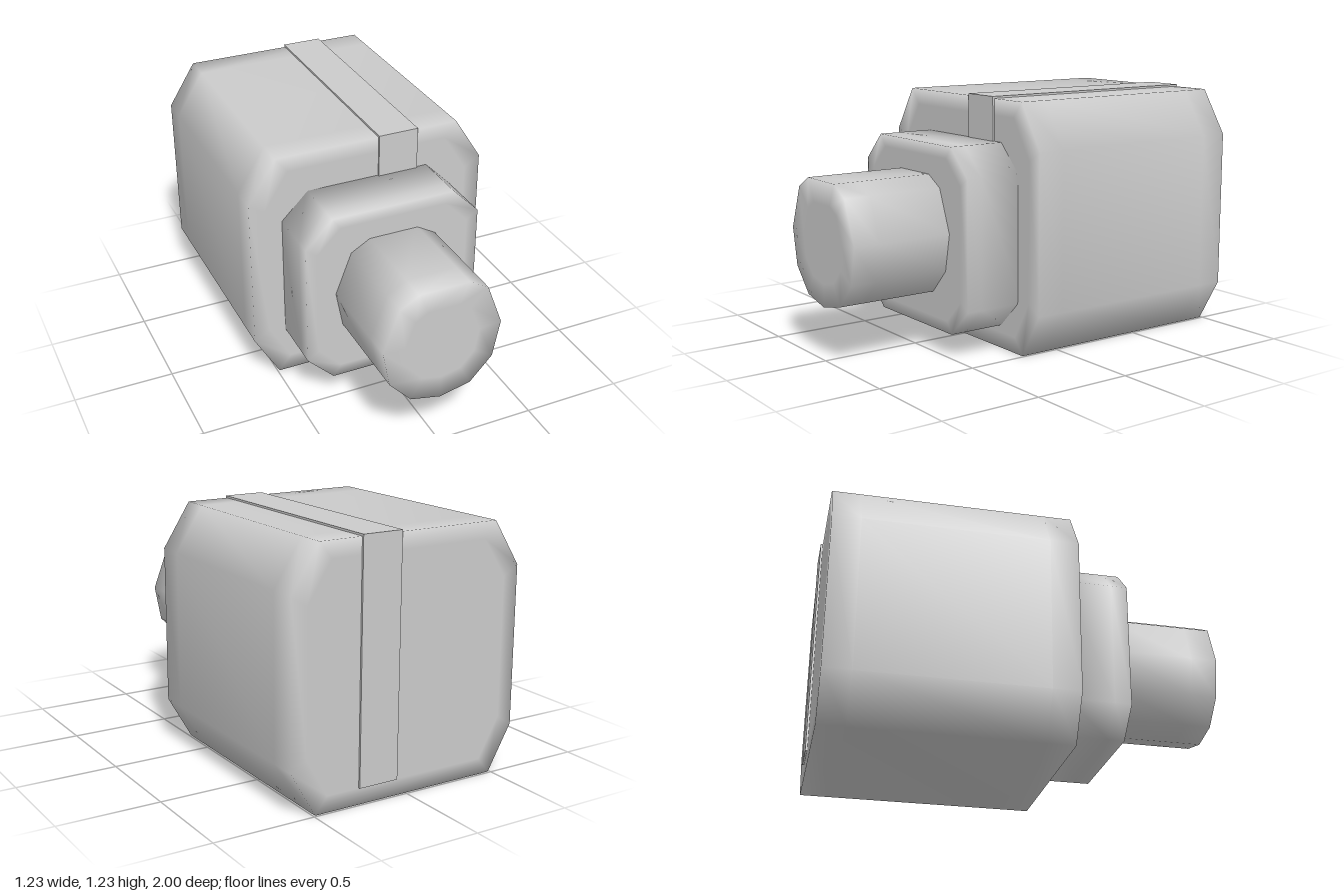
import * as THREE from 'three';

const material = new THREE.MeshStandardMaterial({ color: 0xcccccc });

// Complete a right-hand half outline (bottom to top) by mirroring it across x = 0
function mirrored(half) {
  const left = half.filter(([x]) => x > 0).map(([x, y]) => [-x, y]).reverse();
  return [...half, ...left];
}

// Outline scaled about (0, cy)
const scaled = (outline, cy, s) => outline.map(([x, y]) => [x * s, cy + (y - cy) * s]);

// Smooth block: rings of [scale, z] from back to front, sharing vertices for soft normals
function softBlock(name, outline, cy, rings, openFront = false) {
  const n = outline.length;
  const positions = [];
  const index = [];
  for (const [s, z] of rings) {
    for (const [x, y] of scaled(outline, cy, s)) positions.push(x, y, z);
  }
  for (let r = 0; r < rings.length - 1; r++) {
    for (let j = 0; j < n; j++) {
      const a = r * n + j;
      const b = r * n + (j + 1) % n;
      index.push(a, b, b + n, a, b + n, a + n);
    }
  }
  // Flat fans closing both ends
  const back = rings.length * n;
  const last = back - n;
  positions.push(0, cy, rings[0][1], 0, cy, rings[rings.length - 1][1]);
  for (let j = 0; j < n; j++) {
    const k = (j + 1) % n;
    index.push(back, k, j);
    if (!openFront) index.push(back + 1, last + j, last + k);
  }
  const geometry = new THREE.BufferGeometry();
  geometry.setAttribute('position', new THREE.Float32BufferAttribute(positions, 3));
  geometry.setIndex(index);
  geometry.computeVertexNormals();
  const mesh = new THREE.Mesh(geometry, material);
  mesh.name = name;
  return mesh;
}

export function createModel() {
  const group = new THREE.Group();
  group.name = 'camera';

  // Main housing with chamfered corners
  const bodyOutline = mirrored([[0.49, 0], [0.615, 0.22], [0.615, 1.0], [0.475, 1.22]]);
  group.add(softBlock('body', bodyOutline, 0.61,
    [[0.87, -0.99], [1, -0.99], [1, -0.85], [1, 0.06], [1, 0.2], [0.87, 0.2]]));

  // Lens mount plate
  const mountOutline = mirrored([[0.315, 0.115], [0.45, 0.25], [0.45, 0.88], [0.315, 1.015]]);
  group.add(softBlock('lensMount', mountOutline, 0.565,
    [[1, 0.18], [1, 0.41], [1, 0.49], [0.87, 0.49]]));

  // Lens barrel, eleven-sided
  const barrelOutline = mirrored([[0, 0.26], [0.155, 0.295], [0.265, 0.415],
    [0.3, 0.6], [0.22, 0.81], [0.125, 0.865]]);
  group.add(softBlock('lensBarrel', barrelOutline, 0.57,
    [[1, 0.47], [1, 0.87], [1, 1], [0.63, 1]], true));

  // Flat lens in the end of the barrel
  const lensPoints = scaled(barrelOutline, 0.57, 0.63).map(([x, y]) => new THREE.Vector2(x, y));
  const lens = new THREE.Mesh(new THREE.ShapeGeometry(new THREE.Shape(lensPoints)), material);
  lens.name = 'lens';
  lens.position.z = 1;
  group.add(lens);

  // Strap wrapping over the front, top and back: side profile as (-z, y), extruded along x
  const profile = [[-0.21, 0.95], [-0.21, 1.23], [1.0, 1.23], [1.0, 0.08],
    [0.95, 0.08], [0.95, 1.18], [-0.16, 1.18], [-0.16, 0.95]];
  const strapShape = new THREE.Shape(profile.map(([x, y]) => new THREE.Vector2(x, y)));
  const strap = new THREE.Mesh(
    new THREE.ExtrudeGeometry(strapShape, { depth: 0.205, bevelEnabled: false }), material);
  strap.name = 'strap';
  strap.rotation.y = Math.PI / 2;
  strap.position.x = 0.055;
  group.add(strap);

  return group;
}
